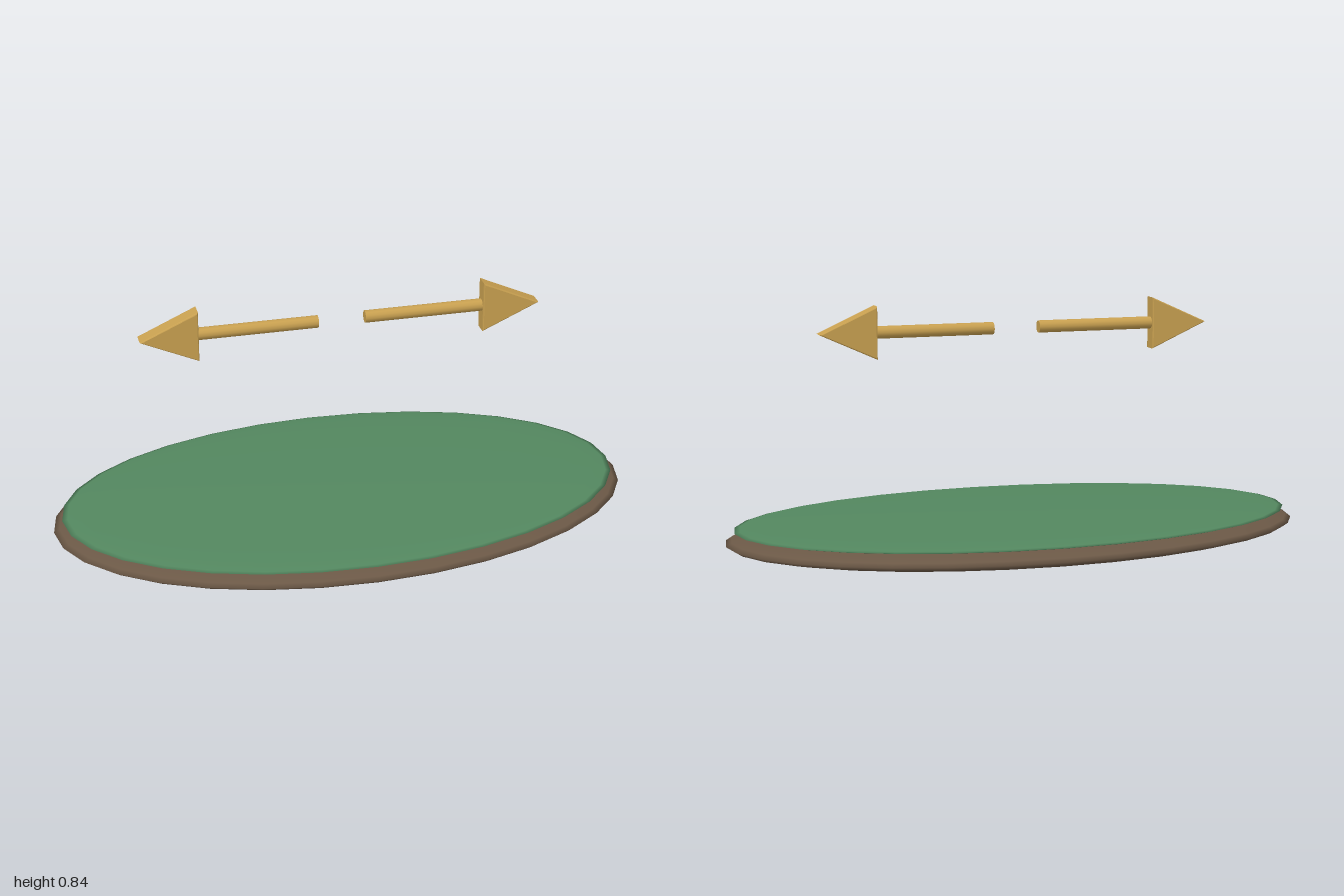
import * as THREE from 'three';

const brown = new THREE.MeshStandardMaterial({ color: 0x6b5846 });
const green = new THREE.MeshStandardMaterial({ color: 0x53875f });
const gold = new THREE.MeshStandardMaterial({ color: 0xc8a050 });

// Flattened ellipsoid
function disc(name, material, rx, ry, rz, y) {
  const geometry = new THREE.SphereGeometry(1, 32, 16).scale(rx, ry, rz);
  const mesh = new THREE.Mesh(geometry, material);
  mesh.name = name;
  mesh.position.y = y;
  return mesh;
}

// Arrow pointing along +x: round shaft and bevelled triangular head
function arrow(name) {
  const group = new THREE.Group();
  group.name = name;

  const shaft = new THREE.Mesh(new THREE.CylinderGeometry(0.021, 0.021, 0.41, 12), gold);
  shaft.name = 'arrowShaft';
  shaft.rotation.z = -Math.PI / 2;
  shaft.position.x = 0.285;

  const outline = new THREE.Shape([
    new THREE.Vector2(0.489, -0.0825),
    new THREE.Vector2(0.673, 0),
    new THREE.Vector2(0.489, 0.0825),
  ]);
  const headGeometry = new THREE.ExtrudeGeometry(outline, {
    depth: 0.046, bevelEnabled: true, bevelThickness: 0.005, bevelSize: 0.005, bevelSegments: 2,
  }).translate(0, 0, -0.023);
  const head = new THREE.Mesh(headGeometry, gold);
  head.name = 'arrowHead';

  group.add(shaft, head);
  group.position.y = 0.752;
  return group;
}

export function createModel() {
  const model = new THREE.Group();
  model.name = 'islandWithArrows';

  // Earth base with a thin grass layer
  model.add(disc('earthBase', brown, 1, 0.06, 0.545, 0.06));
  model.add(disc('grassTop', green, 0.97, 0.02, 0.525, 0.102));

  // Pair of arrows pointing outwards
  const left = arrow('leftArrow');
  const right = arrow('rightArrow');
  right.rotation.y = Math.PI;
  model.add(left, right);
  return model;
}
